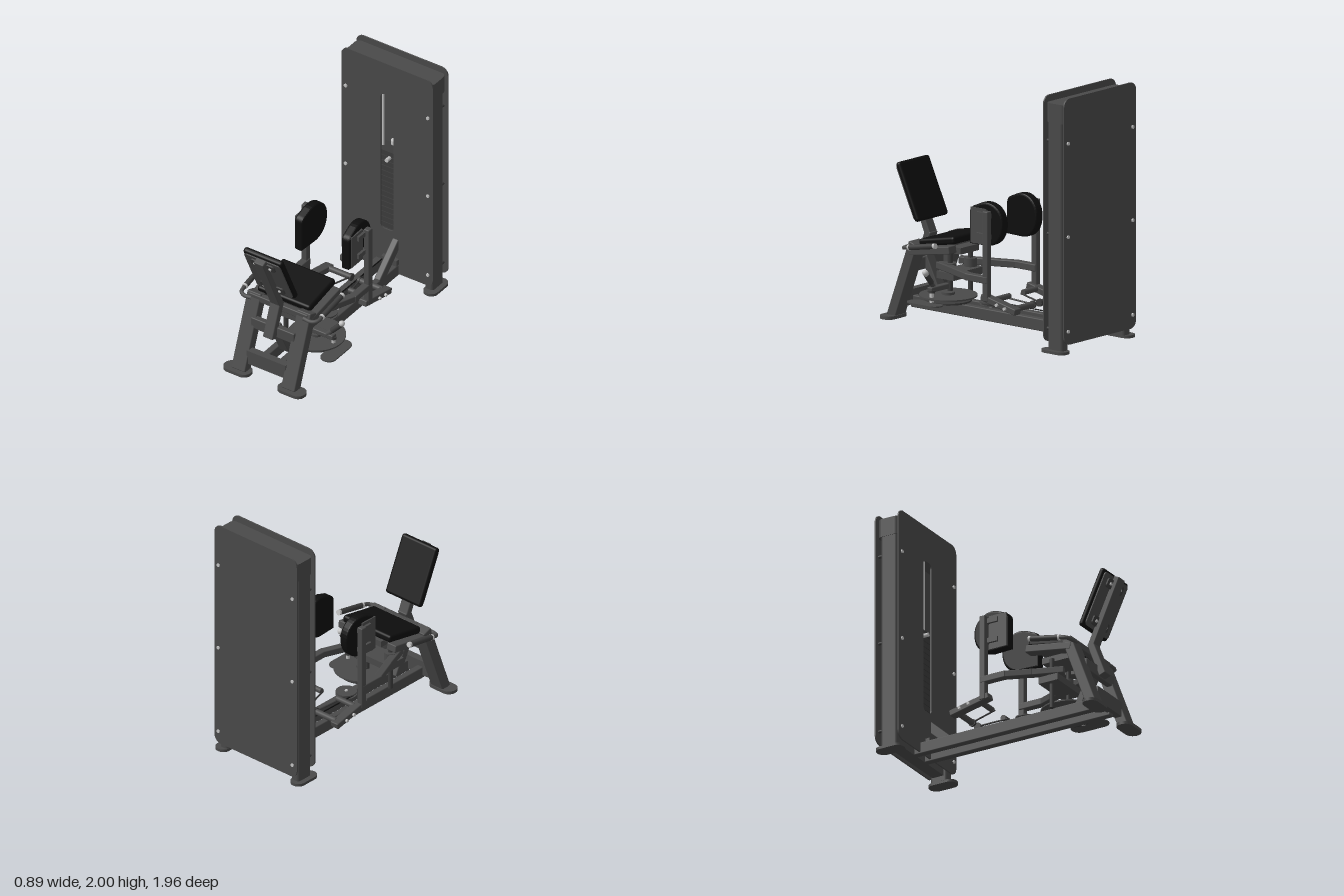
import * as THREE from 'three';
import { RoundedBoxGeometry } from 'three/addons/geometries/RoundedBoxGeometry.js';

const material = (name, color, side = THREE.FrontSide) => {
  const m = new THREE.MeshStandardMaterial({ color, side });
  m.name = name;
  return m;
};

export function createModel() {
  const model = new THREE.Group();
  model.name = 'seatedThighMachine';
  const frame = material('frame grey', 0x4a4a4a);
  const steel = material('dark steel', 0x3c3c3c);
  const black = material('black upholstery', 0x0e0e0e);
  const silver = material('silver metal', 0xc4c4c4);
  const V = (x, y, z) => new THREE.Vector3(x, y, z);

  const add = (name, geo, mat, x = 0, y = 0, z = 0) => {
    const m = new THREE.Mesh(geo, mat);
    m.name = name;
    m.position.set(x, y, z);
    model.add(m);
    return m;
  };
  const box = (name, mat, w, h, d, x, y, z) => add(name, new THREE.BoxGeometry(w, h, d), mat, x, y, z);
  // Rectangular tube running from a to b
  const bar = (name, mat, a, b, w, h) => {
    const mid = a.clone().add(b).multiplyScalar(0.5);
    const m = add(name, new RoundedBoxGeometry(w, h, a.distanceTo(b), 2, 0.008), mat, mid.x, mid.y, mid.z);
    m.lookAt(b);
    return m;
  };
  // Round rod running from a to b
  const rod = (name, mat, a, b, r, sides = 16) => {
    const mid = a.clone().add(b).multiplyScalar(0.5);
    const m = add(name, new THREE.CylinderGeometry(r, r, a.distanceTo(b), sides), mat, mid.x, mid.y, mid.z);
    m.quaternion.setFromUnitVectors(V(0, 1, 0), b.clone().sub(a).normalize());
    return m;
  };
  const disc = (name, mat, r, h, x, y, z) => add(name, new THREE.CylinderGeometry(r, r, h, 40), mat, x, y, z);
  const trace = (p, x, y, w, h, r) => {
    p.moveTo(x + r, y);
    p.lineTo(x + w - r, y);
    p.absarc(x + w - r, y + r, r, -Math.PI / 2, 0);
    p.lineTo(x + w, y + h - r);
    p.absarc(x + w - r, y + h - r, r, 0, Math.PI / 2);
    p.lineTo(x + r, y + h);
    p.absarc(x + r, y + h - r, r, Math.PI / 2, Math.PI);
    p.lineTo(x, y + r);
    p.absarc(x + r, y + r, r, Math.PI, Math.PI * 1.5);
    return p;
  };
  const rounded = (x, y, w, h, r) => trace(new THREE.Shape(), x, y, w, h, r);
  const extrude = (shape, depth, bevel = 0) => new THREE.ExtrudeGeometry(shape, {
    depth, bevelEnabled: bevel > 0, bevelSize: bevel, bevelThickness: bevel, bevelSegments: 3, curveSegments: 12 });
  // Flat rounded slab lying on the floor plane
  const slab = (name, mat, w, d, h, r, x, y, z) => {
    const m = add(name, extrude(rounded(-w / 2, -d / 2, w, d, r), h), mat, x, y, z);
    m.rotation.x = -Math.PI / 2;
    return m;
  };

  // Tower: shrouds, columns, cap
  const front = rounded(-0.423, 0.075, 0.846, 1.925, 0.065);
  front.holes.push(trace(new THREE.Path(), -0.06, 0.45, 0.12, 1.26, 0.035));
  add('frontShroud', extrude(front, 0.012), frame, 0, 0, -0.768);
  add('backShroud', extrude(rounded(-0.423, 0.075, 0.846, 1.925, 0.065), 0.012), frame, 0, 0, -0.97);
  slab('towerCap', frame, 0.82, 0.186, 0.15, 0.04, 0, 1.8, -0.864);
  box('towerBaseBeam', frame, 0.74, 0.1, 0.1, 0, 0.11, -0.86);
  for (const s of [-1, 1]) {
    slab('towerColumn', frame, 0.08, 0.15, 1.78, 0.025, s * 0.365, 0.02, -0.857);
    slab('towerFoot', frame, 0.12, 0.24, 0.022, 0.058, s * 0.386, 0, -0.85);
    for (const y of [0.18, 0.92, 1.65]) {
      rod('shroudBolt', silver, V(s * 0.38, y, -0.754), V(s * 0.38, y, -0.744), 0.014);
      rod('shroudBolt', silver, V(s * 0.38, y, -0.97), V(s * 0.38, y, -0.98), 0.014);
      rod('shroudSpacer', steel, V(s * 0.38, y, -0.96), V(s * 0.38, y, -0.765), 0.012);
    }
    rod('guideRod', silver, V(s * 0.1, 0.16, -0.85), V(s * 0.1, 1.82, -0.85), 0.011);
  }

  // Weight stack
  for (let i = 0; i < 20; i++) box('weightPlate', steel, 0.3, 0.042, 0.12, 0, 0.22 + i * 0.048, -0.85);
  rod('stackCable', steel, V(0, 1.15, -0.85), V(0, 1.82, -0.85), 0.004, 8);
  rod('stackCollar', silver, V(0, 1.2, -0.85), V(0, 1.235, -0.85), 0.025);
  rod('selectorPin', silver, V(0, 1.1, -0.79), V(0, 1.1, -0.745), 0.016);

  // Base rails and braces
  for (const s of [-1, 1]) bar('baseRail', frame, V(s * 0.077, 0.108, -0.84), V(s * 0.077, 0.108, 0.84), 0.055, 0.095);
  bar('towerBrace', frame, V(0.077, 0.13, -0.53), V(0.077, 0.37, -0.79), 0.055, 0.075);
  bar('seatBrace', frame, V(0, 0.14, 0.6), V(0, 0.46, 0.76), 0.09, 0.06);
  box('lowerCrossBeam', frame, 0.36, 0.12, 0.06, 0, 0.145, 0.845);
  bar('middleCrossBeam', frame, V(-0.2, 0.41, 0.765), V(0.2, 0.41, 0.765), 0.05, 0.095);
  bar('upperCrossBeam', frame, V(-0.27, 0.59, 0.69), V(0.27, 0.59, 0.69), 0.05, 0.055);

  // Front legs, seat rails and handles
  for (const s of [-1, 1]) {
    bar('frontLeg', frame, V(s * 0.23, 0.015, 0.882), V(s * 0.23, 0.615, 0.66), 0.125, 0.085);
    slab('frontFoot', frame, 0.24, 0.13, 0.025, 0.062, s * 0.25, 0, 0.89);
    bar('seatRail', frame, V(s * 0.25, 0.545, 0.7), V(s * 0.25, 0.612, 0.295), 0.09, 0.06);
    const path = new THREE.CatmullRomCurve3([V(s * 0.24, 0.585, 0.72), V(s * 0.31, 0.58, 0.72),
      V(s * 0.35, 0.587, 0.695), V(s * 0.357, 0.6, 0.63), V(s * 0.362, 0.648, 0.38)]);
    add('handle', new THREE.TubeGeometry(path, 32, 0.016, 12), frame);
    rod('handleGrip', steel, V(s * 0.357, 0.6, 0.63), V(s * 0.362, 0.645, 0.39), 0.022);
    rod('gripRing', silver, V(s * 0.357, 0.597, 0.645), V(s * 0.357, 0.6, 0.63), 0.023);
    rod('gripCap', silver, V(s * 0.362, 0.645, 0.39), V(s * 0.362, 0.649, 0.37), 0.022);
  }

  // Seat
  const seat = add('seatPad', new RoundedBoxGeometry(0.49, 0.06, 0.36, 4, 0.022), black, 0, 0.648, 0.465);
  seat.rotation.x = 0.19;
  const seatPlate = box('seatPlate', frame, 0.42, 0.015, 0.32, 0, 0.612, 0.47);
  seatPlate.rotation.x = 0.19;
  box('seatBracket', frame, 0.22, 0.05, 0.25, 0, 0.568, 0.46);

  // Backrest on its bent post
  bar('backrestLowerPost', frame, V(0, 0.37, 0.83), V(0, 0.66, 0.72), 0.09, 0.06);
  bar('backrestUpperPost', frame, V(0, 0.63, 0.722), V(0, 1.16, 0.958), 0.09, 0.055);
  const backrest = new THREE.Group();
  backrest.name = 'backrest';
  backrest.position.set(0, 0.973, 0.815);
  backrest.rotation.x = 0.43;
  model.add(backrest);
  const onBack = (m) => backrest.add(m);
  onBack(add('backrestPad', new RoundedBoxGeometry(0.36, 0.48, 0.05, 4, 0.022), black));
  onBack(add('backrestPlate', extrude(rounded(-0.165, -0.22, 0.33, 0.44, 0.025), 0.012), frame, 0, 0, 0.022));
  for (const y of [-0.155, 0.155]) {
    onBack(add('backrestBracket', extrude(rounded(-0.11, -0.037, 0.22, 0.074, 0.02), 0.012), steel, 0, y, 0.034));
    for (const x of [-0.07, 0.07]) {
      const bolt = add('backrestBolt', new THREE.CylinderGeometry(0.012, 0.012, 0.012, 12), silver, x, y, 0.05);
      bolt.rotation.x = Math.PI / 2;
      onBack(bolt);
    }
  }

  // Swinging arms with thigh pads
  const padShape = new THREE.Shape();
  padShape.moveTo(0.108, 0.71);
  padShape.lineTo(0.108, 0.94);
  padShape.quadraticCurveTo(0.105, 0.965, 0.08, 0.975);
  padShape.lineTo(0.01, 1.005);
  padShape.bezierCurveTo(-0.08, 1.035, -0.18, 0.98, -0.18, 0.87);
  padShape.bezierCurveTo(-0.18, 0.77, -0.12, 0.71, -0.04, 0.705);
  padShape.lineTo(0.108, 0.705);
  const padGeo = extrude(padShape, 0.045, 0.016);
  for (const s of [-1, 1]) {
    const pad = add('thighPad', padGeo, black, s * 0.212 + 0.0225, 0, 0);
    pad.rotation.y = -Math.PI / 2 + s * 0.06;
    box('padBackPlate', frame, 0.012, 0.28, 0.15, s * 0.257, 0.84, 0.03);
    bar('armPost', frame, V(s * 0.288, 0.27, -0.08), V(s * 0.288, 0.975, -0.08), 0.05, 0.052);
    for (const y of [0.77, 0.935]) {
      rod('padBolt', silver, V(s * 0.255, y, 0.005), V(s * 0.27, y, 0.005), 0.012, 12);
      box('padBracket', frame, 0.03, 0.04, 0.13, s * 0.268, y, -0.03);
    }
    bar('upperArmRear', frame, V(s * 0.285, 0.438, -0.1), V(s * 0.285, 0.438, 0.125), 0.06, 0.056);
    bar('upperArmBend', frame, V(s * 0.287, 0.438, 0.1), V(s * 0.205, 0.438, 0.31), 0.06, 0.056);
    bar('upperArmFront', frame, V(s * 0.21, 0.438, 0.29), V(s * 0.12, 0.438, 0.54), 0.06, 0.056);
    bar('lowerArm', frame, V(s * 0.27, 0.3, -0.03), V(s * 0.27, 0.225, -0.375), 0.075, 0.05);
    rod('rearCrossTube', frame, V(s * 0.25, 0.24, -0.33), V(s * 0.05, 0.24, -0.33), 0.024);
    rod('tubeCollar', steel, V(s * 0.05, 0.24, -0.33), V(s * 0.03, 0.24, -0.33), 0.03);
    rod('frontCrossTube', frame, V(s * 0.25, 0.285, -0.13), V(s * 0.08, 0.285, -0.13), 0.022);
    for (const z of [-0.2, -0.28]) rod('armBolt', silver, V(s * 0.305, 0.262 + (z + 0.2) * 0.22, z), V(s * 0.325, 0.262 + (z + 0.2) * 0.22, z), 0.012, 12);
    rod('linkRod', steel, V(s * 0.035, 0.24, -0.36), V(s * 0.09, 0.27, -0.1), 0.007, 8);
    // Pivot
    rod('pivotShaft', steel, V(s * 0.12, 0.15, 0.43), V(s * 0.12, 0.56, 0.43), 0.02);
    rod('pivotHousing', frame, V(s * 0.12, 0.35, 0.43), V(s * 0.12, 0.47, 0.43), 0.05, 24);
  }
  box('pivotBeam', frame, 0.36, 0.055, 0.17, 0, 0.375, 0.43);

  // Cams, pulleys and cable
  disc('largeCam', frame, 0.225, 0.012, 0.155, 0.225, 0.42);
  disc('lowerCam', steel, 0.18, 0.014, 0.155, 0.187, 0.42);
  disc('camHub', frame, 0.05, 0.1, 0.155, 0.2, 0.42);
  slab('adjusterLobe', frame, 0.13, 0.32, 0.01, 0.062, 0.37, 0.18, 0.47);
  for (const y of [0.175, 0.2]) disc('pulleyFlange', frame, 0.082, 0.01, 0.035, y, 0.1);
  disc('pulleyCore', steel, 0.068, 0.016, 0.035, 0.187, 0.1);
  rod('pulleyBolt', silver, V(0.035, 0.15, 0.1), V(0.035, 0.212, 0.1), 0.012);
  rod('driveCable', black, V(-0.03, 0.187, 0.12), V(-0.02, 0.187, -0.8), 0.005, 8);
  box('cableGuide', frame, 0.14, 0.05, 0.06, 0.04, 0.19, -0.75);

  // Range adjuster lever with its pop pin
  rod('adjusterLever', frame, V(0.27, 0.29, 0.46), V(0.385, 0.41, 0.44), 0.018);
  rod('leverGrip', steel, V(0.32, 0.345, 0.45), V(0.39, 0.42, 0.44), 0.022);
  add('leverKnob', new THREE.SphereGeometry(0.024, 16, 12), silver, 0.402, 0.437, 0.44);
  rod('popPin', silver, V(0.325, 0.18, 0.44), V(0.325, 0.265, 0.44), 0.016);
  rod('popPinHead', steel, V(0.325, 0.265, 0.44), V(0.325, 0.285, 0.44), 0.024);
  bar('adjusterArm', frame, V(0.12, 0.29, 0.45), V(0.34, 0.29, 0.45), 0.05, 0.04);
  return model;
}
